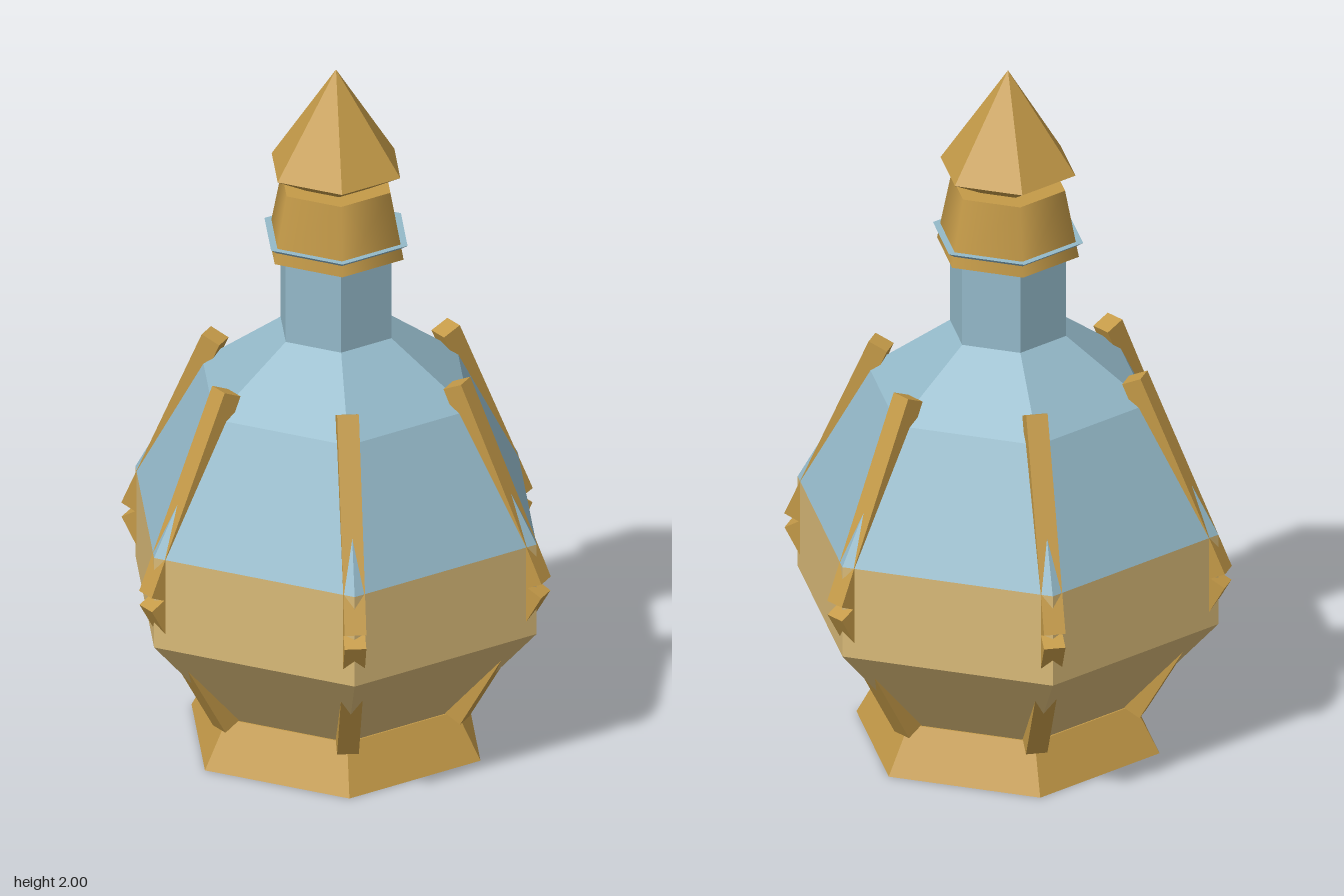
import * as THREE from 'three';

export function createModel() {
  const mat = (name, color) => {
    const m = new THREE.MeshStandardMaterial({ color });
    m.name = name;
    return m;
  };
  const gold = mat('gold', 0xc49a48);
  const liquid = mat('tanLiquid', 0xd9ba78);
  const glass = mat('blueGlass', 0x94b9c9);

  const model = new THREE.Group();
  model.name = 'bottle';

  // Six-sided band between two heights, with a corner on the +x axis
  function band(parent, name, material, y0, r0, y1, r1, { open = true, smooth = false } = {}) {
    let geo = new THREE.CylinderGeometry(r1, r0, y1 - y0, 6, 1, open, Math.PI / 2);
    if (!smooth) {
      geo = geo.toNonIndexed();
      geo.computeVertexNormals();
    }
    const mesh = new THREE.Mesh(geo, material);
    mesh.name = name;
    mesh.position.y = (y0 + y1) / 2;
    parent.add(mesh);
  }

  // Foot and bottle body
  band(model, 'foot', gold, 0, 0.438, 0.135, 0.365, { open: false });
  band(model, 'lowerBody', liquid, 0.135, 0.36, 0.415, 0.608);
  band(model, 'middleBody', liquid, 0.415, 0.608, 0.685, 0.608);
  band(model, 'upperBody', glass, 0.685, 0.608, 1.05, 0.405);
  band(model, 'shoulder', glass, 1.05, 0.405, 1.222, 0.168);
  band(model, 'neck', glass, 1.222, 0.168, 1.48, 0.168);
  band(model, 'lip', glass, 1.495, 0.195, 1.51, 0.217, { open: false });

  // Stopper: smooth collar and faceted spike
  const stopper = new THREE.Group();
  stopper.name = 'stopper';
  band(stopper, 'collar', gold, 1.466, 0.205, 1.66, 0.165, { open: false, smooth: true });
  band(stopper, 'spikeBase', gold, 1.66, 0.1, 1.71, 0.195);
  band(stopper, 'spike', gold, 1.71, 0.195, 2, 0);
  model.add(stopper);

  // Bar whose outer face runs between two [radius, height] points
  const thick = 0.058, width = 0.06;
  function bar(name, [r0, y0], [r1, y1]) {
    const a = Math.atan2(r0 - r1, y1 - y0);
    const mesh = new THREE.Mesh(
      new THREE.BoxGeometry(thick, Math.hypot(r1 - r0, y1 - y0), width), gold);
    mesh.name = name;
    mesh.rotation.z = a;
    mesh.position.set(
      (r0 + r1) / 2 - Math.cos(a) * thick / 2,
      (y0 + y1) / 2 - Math.sin(a) * thick / 2, 0);
    return mesh;
  }

  // A pair of bars, partly sunk into the body, on each corner
  for (let i = 0; i < 6; i++) {
    const brace = new THREE.Group();
    brace.name = 'cornerBrace';
    brace.add(bar('upperBar', [0.637, 0.582], [0.393, 1.137]));
    brace.add(bar('lowerBar', [0.39, 0.112], [0.636, 0.54]));
    brace.rotation.y = i * Math.PI / 3;
    model.add(brace);
  }
  return model;
}
